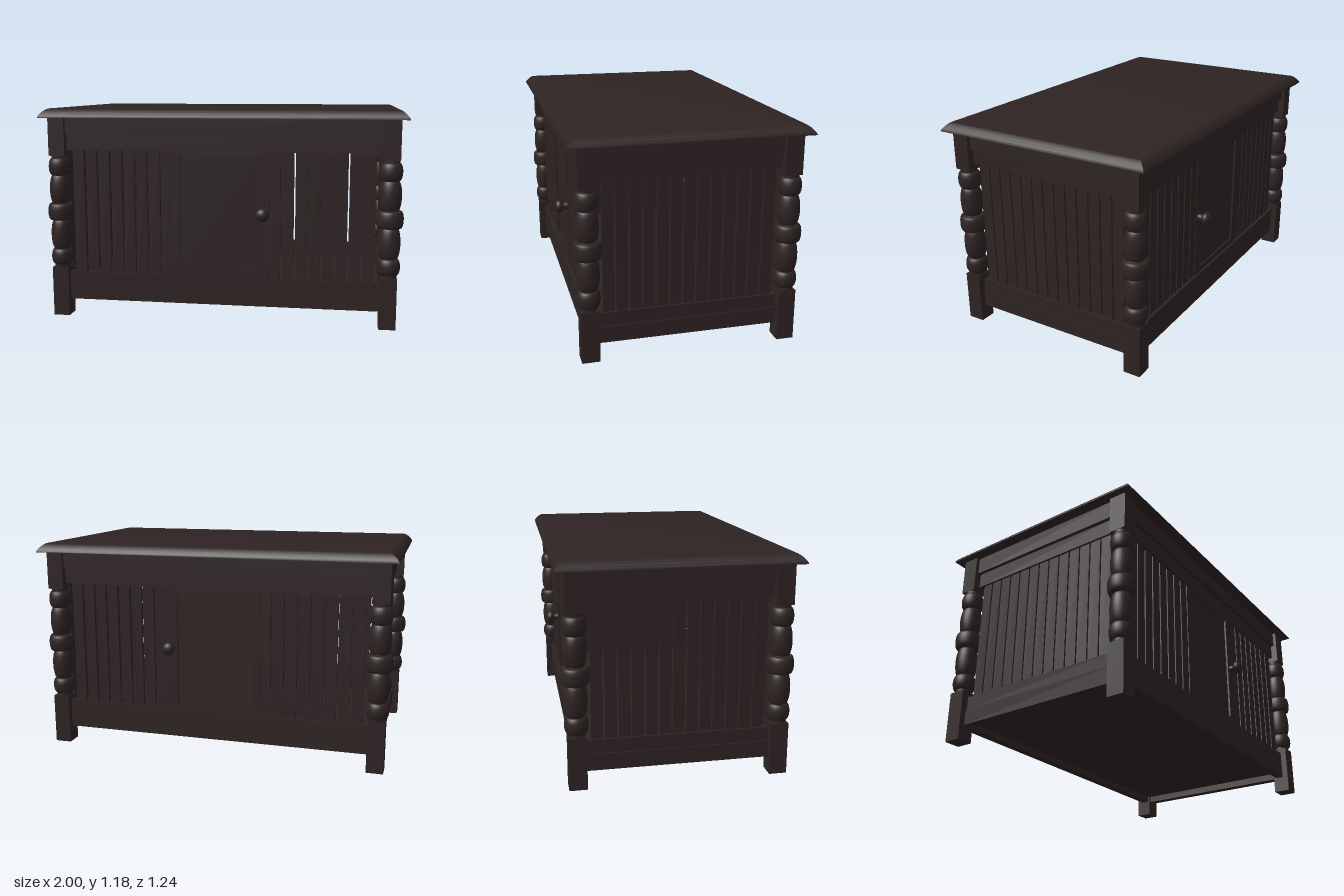
import * as THREE from 'three';
import { toCreasedNormals } from 'three/addons/utils/BufferGeometryUtils.js';

const wood = new THREE.MeshStandardMaterial({ color: 0x2e2323 });
wood.name = 'dark walnut';

function add(parent, name, geometry, x = 0, y = 0, z = 0) {
  const mesh = new THREE.Mesh(geometry, wood);
  mesh.name = name;
  mesh.position.set(x, y, z);
  parent.add(mesh);
  return mesh;
}

// Box given by its extents along each axis
function box(parent, name, [x0, x1], [y0, y1], [z0, z1]) {
  return add(parent, name, new THREE.BoxGeometry(x1 - x0, y1 - y0, z1 - z0),
    (x0 + x1) / 2, (y0 + y1) / 2, (z0 + z1) / 2);
}

// Table top: rectangular loops shrinking along a rounded edge profile
function topGeometry(halfX, halfZ) {
  const profile = [[0, 1.127], [0, 1.132], [0.007, 1.143], [0.018, 1.156], [0.03, 1.167], [0.041, 1.174], [0.052, 1.177]];
  const loops = profile.map(([inset, y]) => {
    const x = halfX - inset, z = halfZ - inset;
    return [[-x, y, z], [x, y, z], [x, y, -z], [-x, y, -z]];
  });
  const points = [];
  const quad = (a, b, c, d) => points.push(...a, ...b, ...c, ...a, ...c, ...d);
  for (let i = 0; i < loops.length - 1; i++) {
    for (let k = 0; k < 4; k++) {
      const n = (k + 1) % 4;
      quad(loops[i][k], loops[i][n], loops[i + 1][n], loops[i + 1][k]);
    }
  }
  quad(...loops[loops.length - 1]);
  quad(...[...loops[0]].reverse());
  const geometry = new THREE.BufferGeometry();
  geometry.setAttribute('position', new THREE.Float32BufferAttribute(points, 3));
  return toCreasedNormals(geometry, 0.6);
}

// Turned post: stacked swellings [bottom, top, neck radius, full radius, squareness]
function turnedGeometry() {
  const swellings = [
    [0.27, 0.295, 0.045, 0.045, 1],
    [0.295, 0.385, 0.043, 0.062, 0.5],
    [0.385, 0.55, 0.043, 0.06, 0.6],
    [0.55, 0.645, 0.05, 0.073, 0.28],
    [0.645, 0.803, 0.043, 0.06, 0.6],
    [0.803, 0.9, 0.043, 0.062, 0.5],
    [0.9, 0.925, 0.045, 0.045, 1],
  ];
  const points = [];
  for (const [y0, y1, neck, full, power] of swellings) {
    const steps = 12;
    for (let i = 0; i <= steps; i++) {
      const t = (1 - Math.cos((i / steps) * Math.PI)) / 2;
      const swell = Math.pow(Math.max(0, 1 - (2 * t - 1) ** 2), power);
      points.push(new THREE.Vector2(neck + (full - neck) * swell, y0 + (y1 - y0) * t));
    }
  }
  return new THREE.LatheGeometry(points, 28);
}

// Long face with rails, slats, door and knob, built facing +z
function longFace(name) {
  const face = new THREE.Group();
  face.name = name;
  const span = [-0.88, 0.88];
  box(face, 'upperApron', span, [1.033, 1.13], [0.49, 0.555]);
  box(face, 'lowerApron', span, [0.945, 1.033], [0.49, 0.535]);
  box(face, 'bottomRail', span, [0.09, 0.25], [0.495, 0.54]);
  for (const side of [-1, 1]) {
    for (let i = 0; i < 8; i++) {
      const x = side * (0.807 - i * 0.0725);
      box(face, 'slat', [x - 0.031, x + 0.031], [0.24, 0.955], [0.505, 0.523]);
    }
  }
  // Door: frame with an opening around a recessed panel
  const frame = new THREE.Shape([[-0.27, 0.25], [0.27, 0.25], [0.27, 0.945], [-0.27, 0.945]].map(p => new THREE.Vector2(...p)));
  frame.holes.push(new THREE.Path([[-0.225, 0.285], [-0.225, 0.925], [0.2, 0.925], [0.2, 0.285]].map(p => new THREE.Vector2(...p))));
  add(face, 'doorFrame', new THREE.ExtrudeGeometry(frame, { depth: 0.025, bevelEnabled: false }), 0, 0, 0.503);
  box(face, 'doorPanel', [-0.225, 0.2], [0.285, 0.925], [0.505, 0.517]);
  const stem = add(face, 'knobStem', new THREE.CylinderGeometry(0.016, 0.022, 0.04, 20), 0.237, 0.608, 0.543);
  stem.rotation.x = Math.PI / 2;
  add(face, 'knob', new THREE.SphereGeometry(0.037, 24, 16), 0.237, 0.608, 0.574).scale.z = 0.75;
  return face;
}

// Short end with rails and slats, built on the side given by sign s
function endFace(name, s) {
  const face = new THREE.Group();
  face.name = name;
  const span = [-0.49, 0.49];
  const depth = (a, b) => (s > 0 ? [a, b] : [-b, -a]);
  box(face, 'upperApron', depth(0.875, 0.94), [1.03, 1.13], span);
  box(face, 'lowerApron', depth(0.875, 0.92), [0.945, 1.03], span);
  box(face, 'upperBottomRail', depth(0.88, 0.92), [0.175, 0.25], span);
  box(face, 'lowerBottomRail', depth(0.88, 0.928), [0.087, 0.175], span);
  for (let i = 0; i < 13; i++) {
    const z = -0.422 + i * 0.0703;
    box(face, 'slat', depth(0.89, 0.908), [0.24, 0.955], [z - 0.031, z + 0.031]);
  }
  return face;
}

export function createModel() {
  const model = new THREE.Group();
  model.name = 'crateTable';

  add(model, 'tableTop', topGeometry(1, 0.622));
  box(model, 'floor', [-0.885, 0.885], [0.125, 0.15], [-0.5, 0.5]);

  // Four corner posts with square ends and turned middles
  const turned = turnedGeometry();
  for (const sx of [-1, 1]) {
    for (const sz of [-1, 1]) {
      const post = new THREE.Group();
      post.name = 'cornerPost';
      post.position.set(sx * 0.915, 0, sz * 0.5275);
      box(post, 'foot', [-0.046, 0.046], [0, 0.28], [-0.047, 0.047]);
      box(post, 'postHead', [-0.046, 0.046], [0.915, 1.13], [-0.047, 0.047]);
      add(post, 'turnedPost', turned);
      model.add(post);
    }
  }

  // Both long faces carry a door; the back keeps its knob on the same x side
  model.add(longFace('frontFace'));
  const back = longFace('backFace');
  back.scale.z = -1;
  model.add(back);
  model.add(endFace('leftEnd', 1), endFace('rightEnd', -1));
  return model;
}
